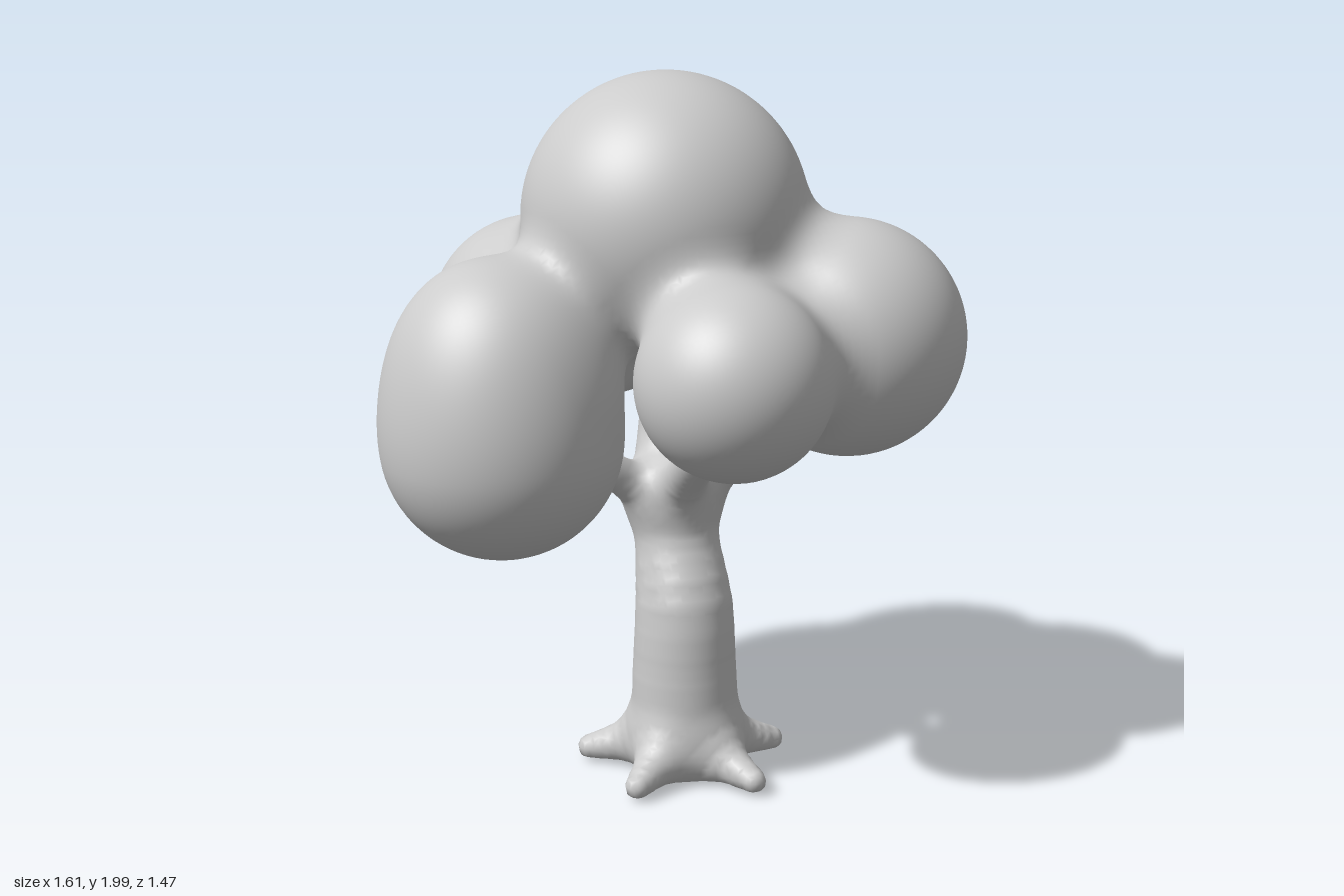
import * as THREE from 'three';

// ---- soft shape helpers: distance fields that melt into each other ----
const smoothMin = (a, b, k) => {
  const h = Math.max(k - Math.abs(a - b), 0) / k;
  return Math.min(a, b) - h * h * k * 0.25;
};
const smoothMax = (a, b, k) => -smoothMin(-a, -b, k);

const ball = (cx, cy, cz, r) => (x, y, z) => Math.hypot(x - cx, y - cy, z - cz) - r;

// Tapered limb along a smooth curve; each point is [x, y, z, radius]
function limb(points, steps = 8) {
  const curve = new THREE.CatmullRomCurve3(points.map(p => new THREE.Vector3(p[0], p[1], p[2])));
  const n = points.length - 1;
  const nodes = [];
  for (let i = 0; i <= steps; i++) {
    const t = i / steps, j = Math.min(Math.floor(t * n), n - 1);
    const c = curve.getPoint(t);
    nodes.push([c.x, c.y, c.z, THREE.MathUtils.lerp(points[j][3], points[j + 1][3], t * n - j)]);
  }
  return (x, y, z) => {
    let best = Infinity;
    for (let i = 0; i < steps; i++) {
      const a = nodes[i], b = nodes[i + 1];
      const dx = b[0] - a[0], dy = b[1] - a[1], dz = b[2] - a[2];
      const px = x - a[0], py = y - a[1], pz = z - a[2];
      const t = Math.min(1, Math.max(0, (px * dx + py * dy + pz * dz) / (dx * dx + dy * dy + dz * dz)));
      const d = Math.hypot(px - dx * t, py - dy * t, pz - dz * t) - a[3] - (b[3] - a[3]) * t;
      if (d < best) best = d;
    }
    return best;
  };
}

const blend = (fields, k) => (x, y, z) => fields.reduce((d, f) => smoothMin(d, f(x, y, z), k), 10);

// Skin a field with quads on a grid; vertices are pulled onto the surface
function skin(field, min, max, step) {
  const size = min.map((m, i) => Math.ceil((max[i] - m) / step) + 1);
  const stride = [1, size[0], size[0] * size[1]];
  const values = new Float32Array(size[0] * size[1] * size[2]);
  const each = fn => {
    for (let k = 0; k < size[2]; k++)
      for (let j = 0; j < size[1]; j++)
        for (let i = 0; i < size[0]; i++) fn([i, j, k], i + j * stride[1] + k * stride[2]);
  };
  each((c, id) => {
    values[id] = field(...c.map((v, a) => min[a] + v * step));
  });

  const positions = [], normals = [], index = [], lookup = new Map();
  const e = 0.002;
  const gradient = p => [0, 1, 2].map(a => {
    const hi = [...p], lo = [...p];
    hi[a] += e;
    lo[a] -= e;
    return (field(...hi) - field(...lo)) / (2 * e);
  });
  const vertex = (id, c) => {
    if (lookup.has(id)) return lookup.get(id);
    let p = c.map((v, a) => min[a] + (v + 0.5) * step);
    for (let n = 0; n < 3; n++) {
      const g = gradient(p);
      const s = field(...p) / Math.max(0.3, g[0] ** 2 + g[1] ** 2 + g[2] ** 2);
      p = p.map((v, a) => v - g[a] * s);
    }
    const g = gradient(p), len = Math.hypot(...g) || 1;
    positions.push(...p);
    normals.push(...g.map(v => v / len));
    lookup.set(id, positions.length / 3 - 1);
    return positions.length / 3 - 1;
  };

  each((c, id) => {
    for (let a = 0; a < 3; a++) {
      const u = (a + 1) % 3, v = (a + 2) % 3;
      if (c[a] + 1 >= size[a] || c[u] < 1 || c[v] < 1) continue;
      const inside = values[id] < 0;
      if (inside === values[id + stride[a]] < 0) continue;
      const q = [[0, 0], [1, 0], [1, 1], [0, 1]].map(([du, dv]) => {
        const cell = [...c];
        cell[u] -= du;
        cell[v] -= dv;
        return vertex(id - du * stride[u] - dv * stride[v], cell);
      });
      if (!inside) q.reverse();
      index.push(q[0], q[1], q[2], q[0], q[2], q[3]);
    }
  });

  const geometry = new THREE.BufferGeometry();
  geometry.setAttribute('position', new THREE.Float32BufferAttribute(positions, 3));
  geometry.setAttribute('normal', new THREE.Float32BufferAttribute(normals, 3));
  geometry.setIndex(index);
  return geometry;
}

export function createModel() {
  const tree = new THREE.Group();
  tree.name = 'tree';
  const material = new THREE.MeshStandardMaterial({ color: 0xcccccc, roughness: 0.8 });
  const add = (name, geometry) => {
    const mesh = new THREE.Mesh(geometry, material);
    mesh.name = name;
    tree.add(mesh);
  };

  // Leaf clumps
  const clumps = [
    [0.02, 1.605, -0.02, 0.396],   // crown
    [0.475, 1.28, 0.192, 0.329],   // left
    [0.045, 1.248, 0.472, 0.263],  // front
    [-0.475, 1.042, 0.07, 0.332],  // lower right
    [-0.48, 1.25, 0.065, 0.285],   // upper right
    [-0.25, 1.255, -0.375, 0.307], // back right
    [0.142, 1.315, -0.442, 0.294], // back left
  ];
  add('foliage', skin(blend(clumps.map(c => ball(...c)), 0.13), [-0.9, 0.62, -0.82], [0.9, 2.08, 0.82], 0.024));

  // Curved trunk
  const wood = [limb([
    [0.06, 0.1, 0.05, 0.155], [0.055, 0.3, 0.05, 0.148], [0.055, 0.5, 0.045, 0.138],
    [0.052, 0.65, 0, 0.121], [0.05, 0.8, -0.035, 0.115],
  ], 12)];

  // Five spreading roots
  for (let i = 0; i < 5; i++) {
    const angle = THREE.MathUtils.degToRad(-7 + 72 * i);
    const at = (r, y, radius) => [0.06 + Math.cos(angle) * r, y, 0.04 + Math.sin(angle) * r, radius];
    wood.push(limb([at(0.05, 0.14, 0.09), at(0.17, 0.075, 0.06), at(0.278, 0.046, 0.036)], 6));
  }

  // Branches reaching into the clumps
  wood.push(
    limb([[0.04, 0.78, -0.03, 0.08], [-0.12, 0.885, 0, 0.052], [-0.3, 1.0, 0.05, 0.045]]),
    limb([[0.05, 0.8, -0.02, 0.085], [0.035, 0.92, 0.15, 0.058], [0.04, 1.12, 0.4, 0.045]]),
    limb([[0.06, 0.8, -0.02, 0.085], [0.2, 0.93, 0.04, 0.058], [0.4, 1.15, 0.14, 0.05]]),
    limb([[0.05, 0.8, -0.04, 0.11], [0.07, 0.97, -0.12, 0.085], [0.1, 1.15, -0.21, 0.062], [0.14, 1.3, -0.36, 0.05]]),
    limb([[0.06, 0.95, -0.11, 0.06], [0.05, 1.12, -0.11, 0.042], [0.03, 1.35, -0.08, 0.042]]),
  );
  const grown = blend(wood, 0.07);
  // Flattened underside
  const woodField = (x, y, z) => smoothMax(grown(x, y, z), 0.008 - y, 0.025);
  add('trunk', skin(woodField, [-0.42, -0.06, -0.5], [0.54, 1.46, 0.52], 0.02));

  return tree;
}
